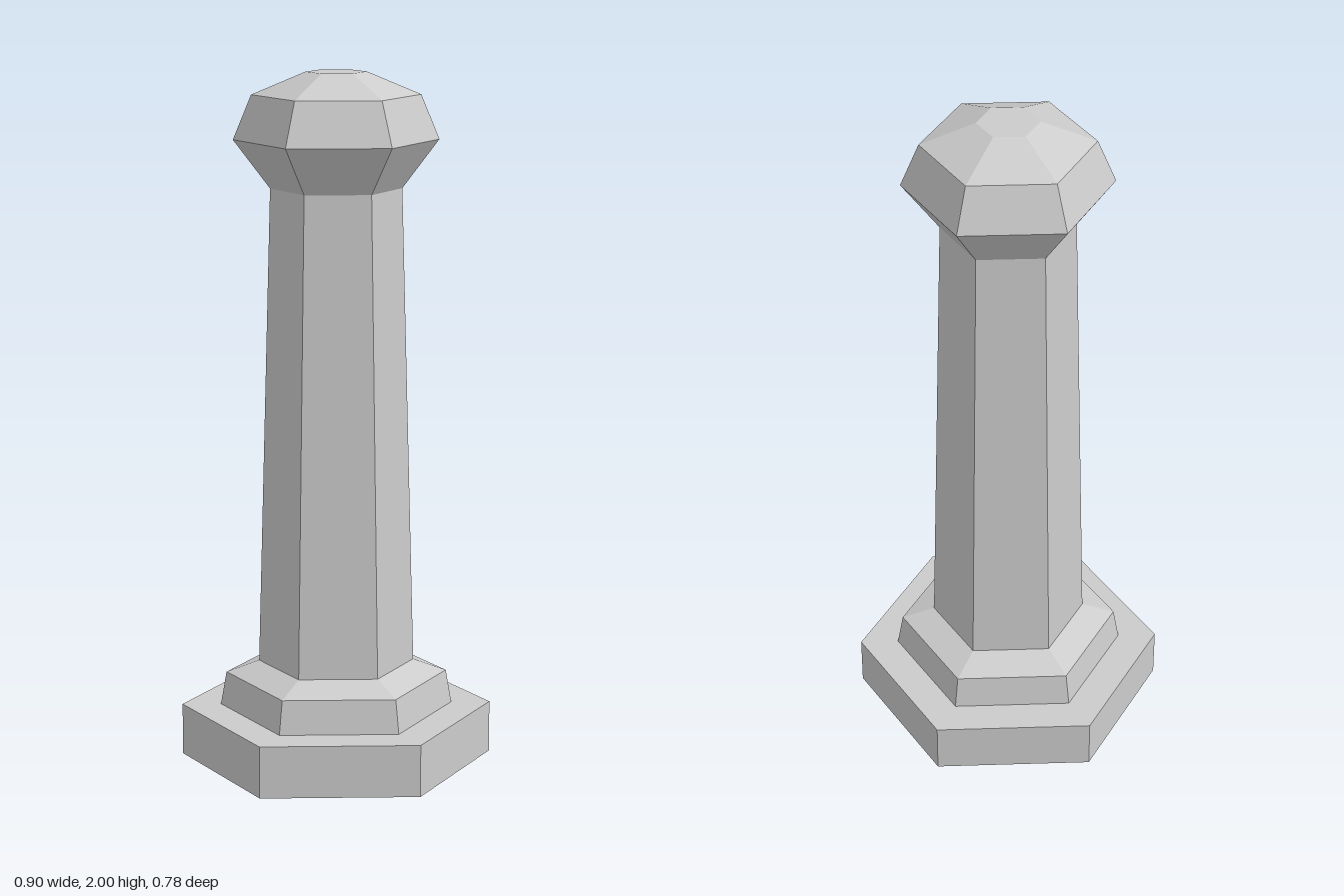
import * as THREE from 'three';

const material = new THREE.MeshStandardMaterial({ color: 0xcccccc, flatShading: true });

// Six-sided turned part from a [radius, y] profile running bottom to top, with corners on the x axis
function hexPart(name, profile) {
  const points = profile.map(([r, y]) => new THREE.Vector2(r, y));
  const mesh = new THREE.Mesh(new THREE.LatheGeometry(points, 6, Math.PI / 6), material);
  mesh.name = name;
  return mesh;
}

export function createModel() {
  const group = new THREE.Group();
  group.name = 'bollard';
  group.add(
    // Wide flat slab on the ground
    hexPart('baseSlab', [[0, 0], [0.452, 0], [0.452, 0.152], [0, 0.152]]),
    // Tapered collar with a sloped shoulder up to the post
    hexPart('collar', [[0.339, 0.152], [0.322, 0.25], [0.226, 0.285]]),
    // Slightly tapering post
    hexPart('post', [[0.226, 0.285], [0.187, 1.672]]),
    // Flared, faceted knob with a small flat top
    hexPart('cap', [[0.187, 1.672], [0.291, 1.81], [0.239, 1.936], [0.086, 2], [0, 2]]),
  );
  return group;
}
